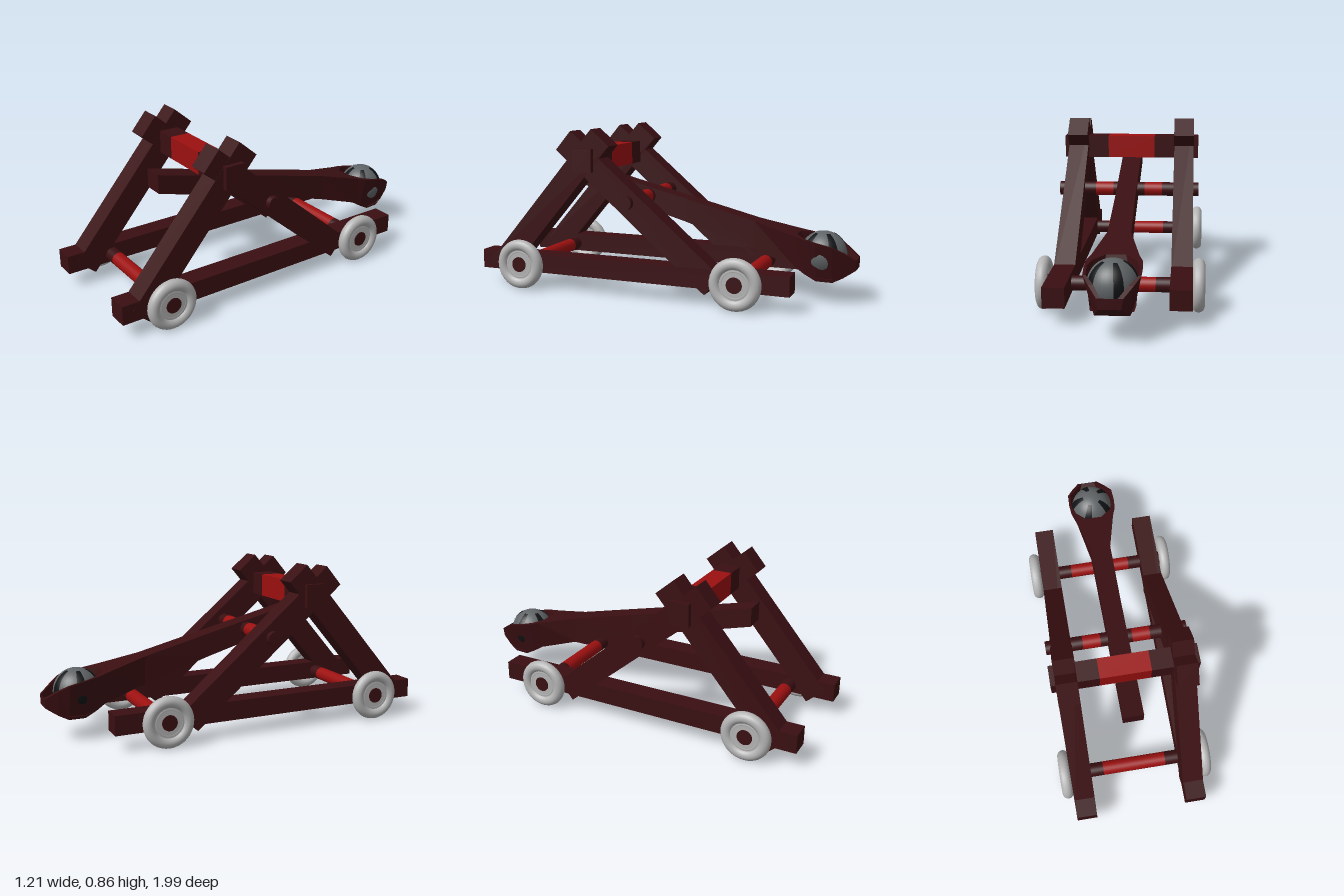
import * as THREE from 'three';

const material = (name, color, extra = {}) => {
  const m = new THREE.MeshStandardMaterial({ color, ...extra });
  m.name = name;
  return m;
};

export function createModel() {
  const wood = material('dark wood', 0x3a0f12);
  const red = material('red paint', 0x9c1010);
  const grey = material('wheel grey', 0xb4b4b4);
  const stone = material('ball grey', 0x606466);
  const black = material('ball black', 0x101214);

  const root = new THREE.Group();
  root.name = 'catapult';
  const body = new THREE.Group();
  body.name = 'body';
  body.rotation.y = -0.316; // the machine stands turned
  root.add(body);

  const C = 0.02;      // middle of the machine
  const SIDE = 0.295;  // rail offset from the middle
  const add = (name, geo, mat, x, y, z, parent = body) => {
    const mesh = new THREE.Mesh(geo, mat);
    mesh.name = name;
    mesh.position.set(x, y, z);
    parent.add(mesh);
    return mesh;
  };
  const rod = (r, length) => new THREE.CylinderGeometry(r, r, length, 28).rotateZ(Math.PI / 2);

  // Side frames: a rail and two crossing posts
  for (const s of [-1, 1]) {
    const x = C + s * SIDE;
    add('rail', new THREE.BoxGeometry(0.107, 0.1, 1.705), wood, x, 0.14, 0.073);
    const front = add('frontPost', new THREE.BoxGeometry(0.109, 0.947, 0.13), wood, x, 0.4575, 0.5185);
    front.rotation.x = -Math.atan2(0.615, 0.72);
    const back = add('backPost', new THREE.BoxGeometry(0.107, 1.067, 0.13), wood, x, 0.453, 0.0135);
    back.rotation.x = Math.atan2(0.763, 0.646);
  }

  // Axles and wheels
  for (const z of [0.675, -0.519]) {
    add('axleMiddle', rod(0.037, 0.34), red, C, 0.133, z);
    for (const s of [-1, 1]) {
      add('axleEnd', rod(0.037, 0.2), wood, C + s * 0.27, 0.133, z);
      const wheel = new THREE.Group();
      wheel.name = 'wheel';
      wheel.position.set(C + s * 0.378, 0.134, z);
      body.add(wheel);
      add('tire', new THREE.TorusGeometry(0.102, 0.03, 14, 40).rotateY(Math.PI / 2), grey, 0, 0, 0, wheel);
      add('disc', rod(0.08, 0.03), grey, 0, 0, 0, wheel);
      add('rimRing', new THREE.TorusGeometry(0.068, 0.017, 8, 36).rotateY(Math.PI / 2), grey, 0, 0, 0, wheel);
      add('hub', rod(0.04, 0.038), wood, 0, 0, 0, wheel);
    }
  }

  // Top cross beam with a painted middle
  add('beamMiddle', new THREE.BoxGeometry(0.26, 0.12, 0.106), red, C, 0.7, 0.302);
  for (const s of [-1, 1])
    add('beamEnd', new THREE.BoxGeometry(0.245, 0.12, 0.106), wood, C + s * 0.2525, 0.7, 0.302);

  // Pivot rod
  add('pivotMiddle', rod(0.037, 0.17), wood, C, 0.495, 0.064);
  for (const s of [-1, 1]) {
    add('pivotBand', rod(0.037, 0.095), red, C + s * 0.1325, 0.495, 0.064);
    add('pivotEnd', rod(0.037, 0.198), wood, C + s * 0.279, 0.495, 0.064);
  }

  // Throwing arm with a hollow spoon: z, top, bottom, half width, bottom half, inner half, floor
  const stations = [
    [0.545, 0.66, 0.56, 0.053, 0.053, 0.03, 0.66],
    [-0.15, 0.488, 0.365, 0.053, 0.053, 0.03, 0.488],
    [-0.52, 0.395, 0.25, 0.057, 0.055, 0.03, 0.395],
    [-0.74, 0.342, 0.18, 0.11, 0.08, 0.05, 0.342],
    [-0.79, 0.33, 0.15, 0.128, 0.09, 0.1, 0.16],
    [-0.85, 0.318, 0.118, 0.133, 0.09, 0.12, 0.135],
    [-0.93, 0.3, 0.115, 0.13, 0.08, 0.115, 0.135],
    [-0.98, 0.27, 0.14, 0.1, 0.07, 0.075, 0.17],
    [-1.04, 0.23, 0.18, 0.058, 0.05, 0.04, 0.23],
  ];
  const pos = [], idx = [], N = 8;
  for (const [z, top, bottom, half, low, inner, floor] of stations) {
    const right = [[low, bottom], [half, top], [inner, top], [inner * 0.85, floor]];
    const left = right.map(([x, y]) => [-x, y]).reverse();
    for (const [x, y] of [...right, ...left]) pos.push(x, y, z);
  }
  for (let i = 0; i < stations.length - 1; i++)
    for (let j = 0; j < N; j++) {
      const a = i * N + j, b = i * N + (j + 1) % N;
      idx.push(a, a + N, b, b, a + N, b + N);
    }
  const last = (stations.length - 1) * N;
  for (let j = 1; j < N - 1; j++) {
    idx.push(0, j, j + 1);
    idx.push(last, last + j + 1, last + j);
  }
  const indexed = new THREE.BufferGeometry();
  indexed.setAttribute('position', new THREE.Float32BufferAttribute(pos, 3));
  indexed.setIndex(idx);
  const armGeo = indexed.toNonIndexed();
  armGeo.computeVertexNormals();
  add('throwingArm', armGeo, wood, C + 0.008, 0, 0);

  // Striped ball in the spoon
  const ball = new THREE.Group();
  ball.name = 'ball';
  ball.position.set(C + 0.01, 0.243, -0.868);
  body.add(ball);
  add('ballBody', new THREE.SphereGeometry(0.117, 36, 24), stone, 0, 0, 0, ball);
  for (let k = 0; k < 5; k++) {
    const phi = Math.PI - (Math.PI / 5 + k * Math.PI * 0.4);
    add('ballStripe', new THREE.SphereGeometry(0.119, 8, 12, phi - 0.2, 0.4, 0.42, 1.6), black, 0, 0, 0, ball);
  }
  return root;
}
